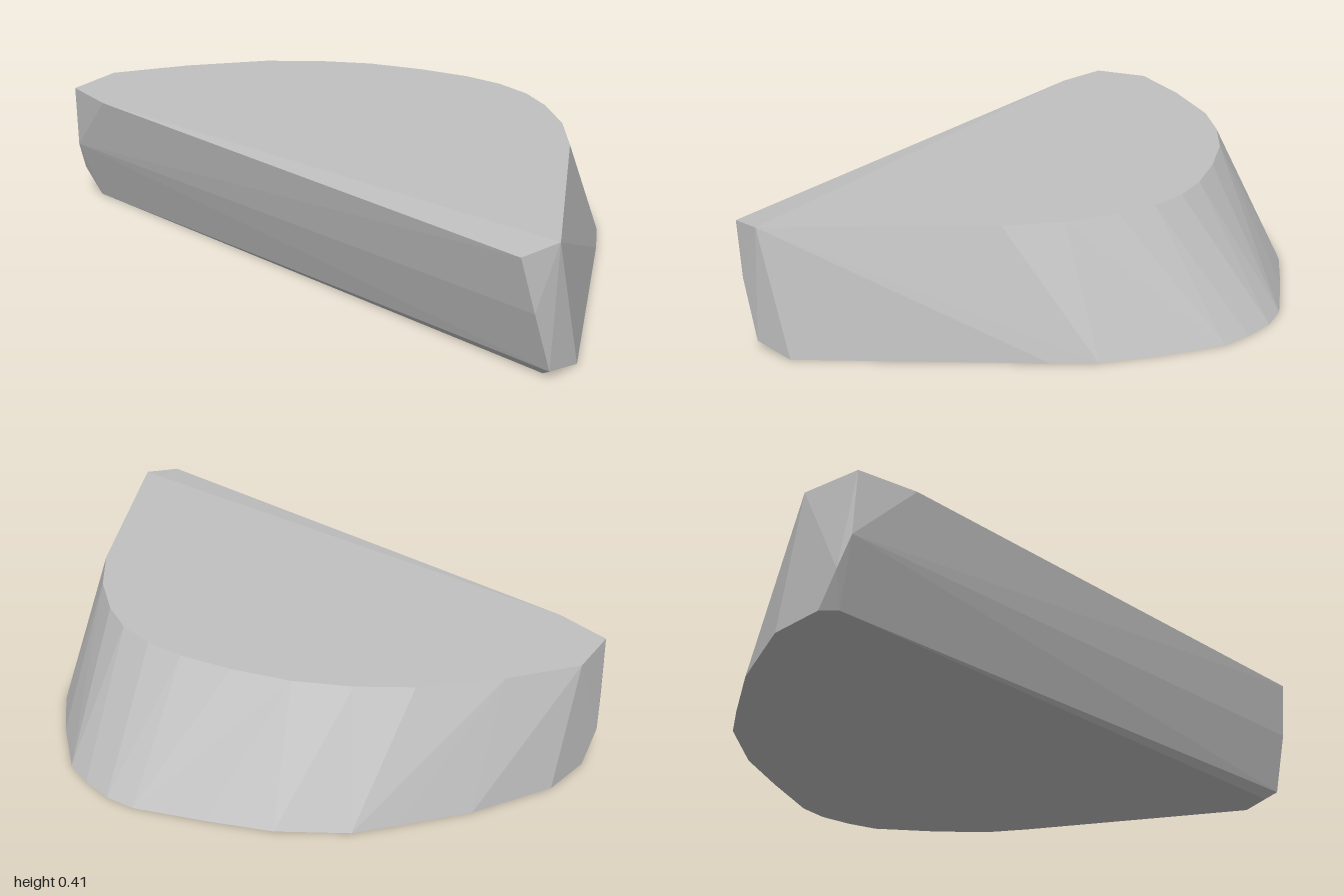
import * as THREE from 'three';
import { ConvexGeometry } from 'three/addons/geometries/ConvexGeometry.js';

const HEIGHT = 0.405;

// Outlines as [x, z], running from the back tip round the curved side to the front tip
const topRim = [
  [-0.635, -0.78], [-0.6, -0.97], [-0.41, -1], [-0.19, -0.87], [0.03, -0.7], [0.15, -0.56],
  [0.25, -0.4], [0.32, -0.22], [0.365, -0.05], [0.375, 0.08], [0.355, 0.21],
  [0.3, 0.33], [0.2, 0.47], [0.06, 0.6], [-0.54, 1],
];
const bottomRim = [
  [-0.53, -0.96], [-0.49, -1], [-0.31, -1], [-0.04, -0.89], [0.17, -0.76], [0.29, -0.68],
  [0.44, -0.5], [0.54, -0.31], [0.64, -0.1], [0.655, 0], [0.64, 0.11],
  [0.61, 0.21], [0.48, 0.38], [0.35, 0.52], [0.23, 0.6], [-0.44, 1], [-0.545, 0.96],
];
// Bevelled corners of the straight side, as [x, y, z]
const corners = [
  [-0.66, 0.39, 0.96], [-0.625, 0.22, 0.985], [-0.57, 0.03, 1],
  [-0.595, 0.2, -0.98], [-0.56, 0.1, -1],
];

export function createModel() {
  const group = new THREE.Group();
  group.name = 'halfRoundStone';
  const grey = new THREE.MeshStandardMaterial({ color: 0xc0c0c0, flatShading: true });
  grey.name = 'stone grey';

  // Slanted half-round block: the convex body spanned by both rims and the corners
  const rim = (outline, y) => outline.map(([x, z]) => new THREE.Vector3(x, y, z));
  const points = [
    ...rim(topRim, HEIGHT),
    ...rim(bottomRim, 0),
    ...corners.map((p) => new THREE.Vector3(...p)),
  ];
  const block = new THREE.Mesh(new ConvexGeometry(points), grey);
  block.name = 'stoneBlock';
  group.add(block);
  return group;
}
